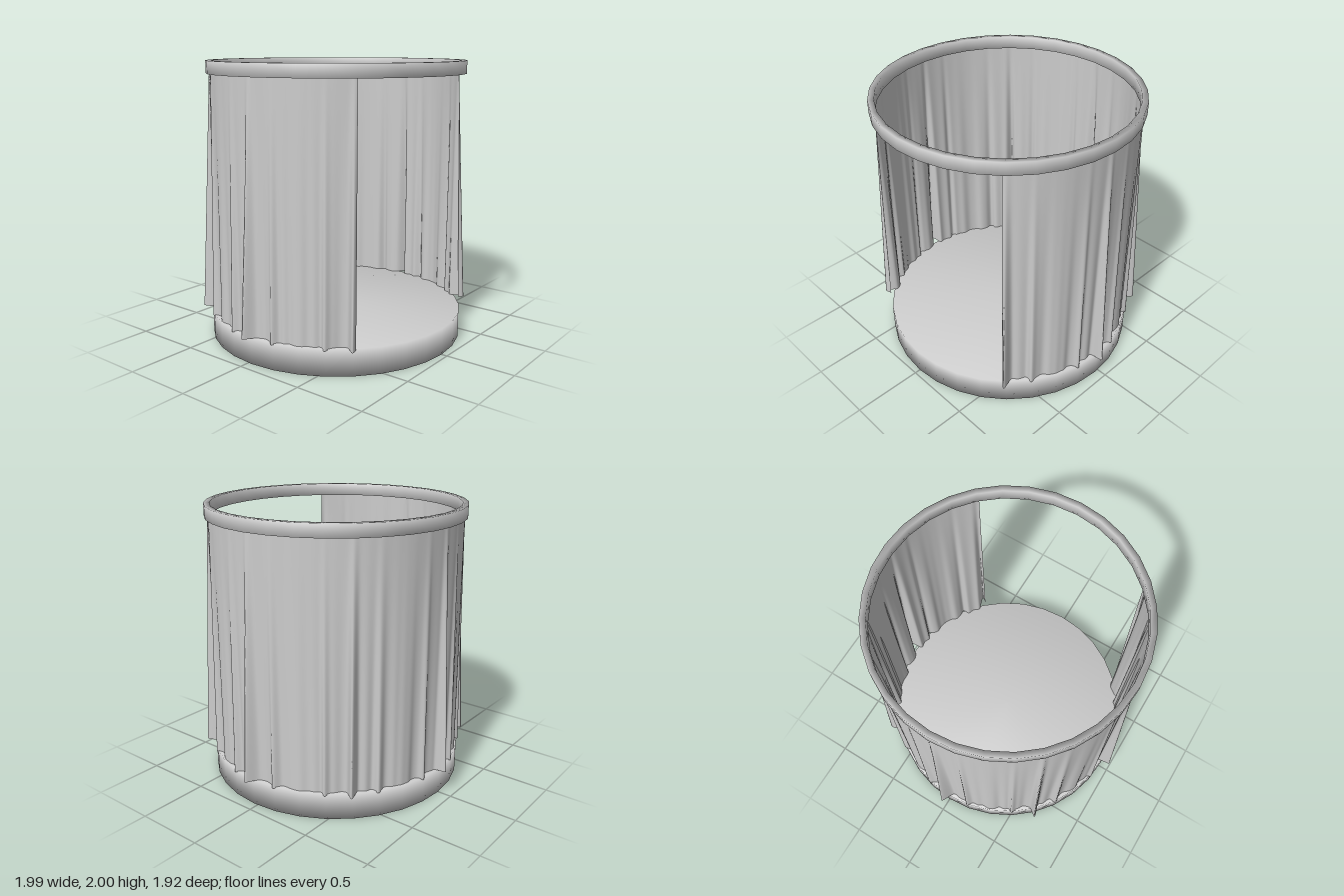
import * as THREE from 'three';
import { mergeVertices } from 'three/addons/utils/BufferGeometryUtils.js';

const SIDES = 32;
const CENTRE_Z = 0.03;

// Weld shared corners so shading rolls softly over every edge
function soften(geometry) {
  geometry.deleteAttribute('uv');
  geometry.deleteAttribute('normal');
  const welded = mergeVertices(geometry, 1e-4);
  welded.computeVertexNormals();
  return welded;
}

// Hanging sheet with pleats that deepen towards the hem
function curtainGeometry() {
  const columns = 640, rows = 8;
  const start = THREE.MathUtils.degToRad(43.8);
  const end = Math.PI * 2 - start;
  const pitch = Math.PI / 16;
  const depths = [0.095, 0.037, 0.016, 0.037]; // one deep pleat in every four
  const positions = [], indices = [];
  for (let j = 0; j <= rows; j++) {
    const drop = j / rows;
    for (let i = 0; i <= columns; i++) {
      const angle = start + (end - start) * i / columns;
      const n = Math.round(angle / pitch);
      const offset = angle / pitch - n;
      const depth = depths[n % 4];
      const sharpness = depth > 0.03 ? 12 : 2;
      const fold = Math.pow(Math.cos(offset * Math.PI), sharpness);
      const ripple = 0.007 * Math.sin(angle * 47 + 2 * Math.sin(angle * 5));
      const r = 0.903 + drop * (depth * fold + ripple * (1 - fold) - 0.003);
      const a = angle - drop * fold * depth * 0.2;
      const hem = 0.19 - 0.012 * fold * (n % 2);
      positions.push(r * Math.sin(a), THREE.MathUtils.lerp(1.94, hem, drop), r * Math.cos(a));
      if (i < columns && j < rows) {
        const p = j * (columns + 1) + i, q = p + columns + 1;
        indices.push(p, q, p + 1, p + 1, q, q + 1);
      }
    }
  }
  const geometry = new THREE.BufferGeometry();
  geometry.setAttribute('position', new THREE.Float32BufferAttribute(positions, 3));
  geometry.setIndex(indices);
  geometry.computeVertexNormals();
  return geometry;
}

export function createModel() {
  const model = new THREE.Group();
  model.name = 'curtainBooth';
  const grey = new THREE.MeshStandardMaterial({ color: 0xcccccc, side: THREE.DoubleSide });
  grey.name = 'pale grey';

  const add = (name, geometry) => {
    const mesh = new THREE.Mesh(geometry, grey);
    mesh.name = name;
    mesh.position.z = CENTRE_Z;
    model.add(mesh);
    return mesh;
  };

  // Round floor
  const floor = add('floorBase', soften(new THREE.CylinderGeometry(0.927, 0.927, 0.188, SIDES)));
  floor.position.y = 0.094;

  // Square-section rail carrying the curtain
  const section = [[0.885, 1.91], [0.927, 1.91], [0.927, 2], [0.885, 2], [0.885, 1.91]]
    .map(([x, y]) => new THREE.Vector2(x, y));
  add('topRail', soften(new THREE.LatheGeometry(section, SIDES)));

  // Curtain, open at the front
  add('curtain', curtainGeometry());

  return model;
}
